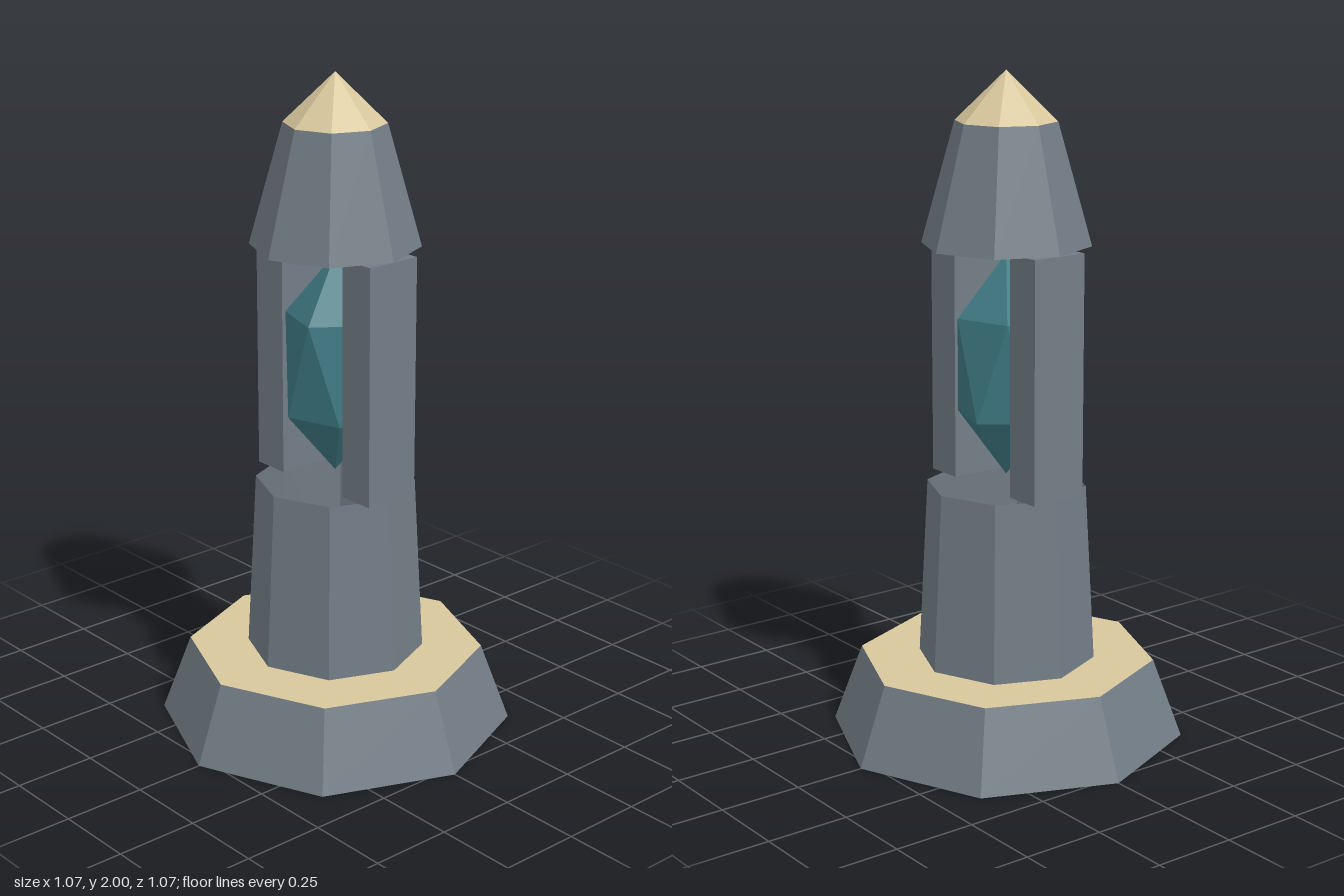
import * as THREE from 'three';

const material = (color) =>
  new THREE.MeshStandardMaterial({ color, flatShading: true, side: THREE.DoubleSide });

export function createModel() {
  const group = new THREE.Group();
  const stone = material(0x737d86);
  const sand = material(0xd8c79c);
  const teal = material(0x3f7a84);

  const add = (name, geometry, mat, x = 0, y = 0) => {
    const mesh = new THREE.Mesh(geometry, mat);
    mesh.name = name;
    mesh.position.set(x, y, 0);
    group.add(mesh);
  };

  // Open eight-sided shell between two heights, corners on the axes
  const shell = (name, rBottom, rTop, y0, y1, mat) =>
    add(name, new THREE.CylinderGeometry(rTop, rBottom, y1 - y0, 8, 1, true), mat, 0, (y0 + y1) / 2);

  // Flared base with a flat deck; the underside is hollow
  shell('base', 0.535, 0.447, 0, 0.238, stone);
  const deck = new THREE.CircleGeometry(0.447, 8).rotateX(-Math.PI / 2);
  add('deck', deck, sand, 0, 0.238);

  // Tapered column, open at the top
  shell('column', 0.267, 0.238, 0.238, 0.778, stone);

  // Two slabs carrying the head
  for (const [name, side] of [['leftPost', 1], ['rightPost', -1]]) {
    add(name, new THREE.BoxGeometry(0.116, 0.718, 0.178), stone, side * 0.192, 1.138);
  }

  // Hollow head and pointed tip
  shell('head', 0.25, 0.15, 1.497, 1.855, stone);
  shell('tip', 0.15, 0, 1.855, 2, sand);

  // Tall crystal: an icosahedron stood on one corner and stretched
  const crystal = new THREE.IcosahedronGeometry(1, 0)
    .rotateX(-Math.atan((1 + Math.sqrt(5)) / 2))
    .rotateY(Math.PI / 2)
    .scale(0.167, 0.333, 0.167);
  add('crystal', crystal, teal, 0, 1.138);

  return group;
}
